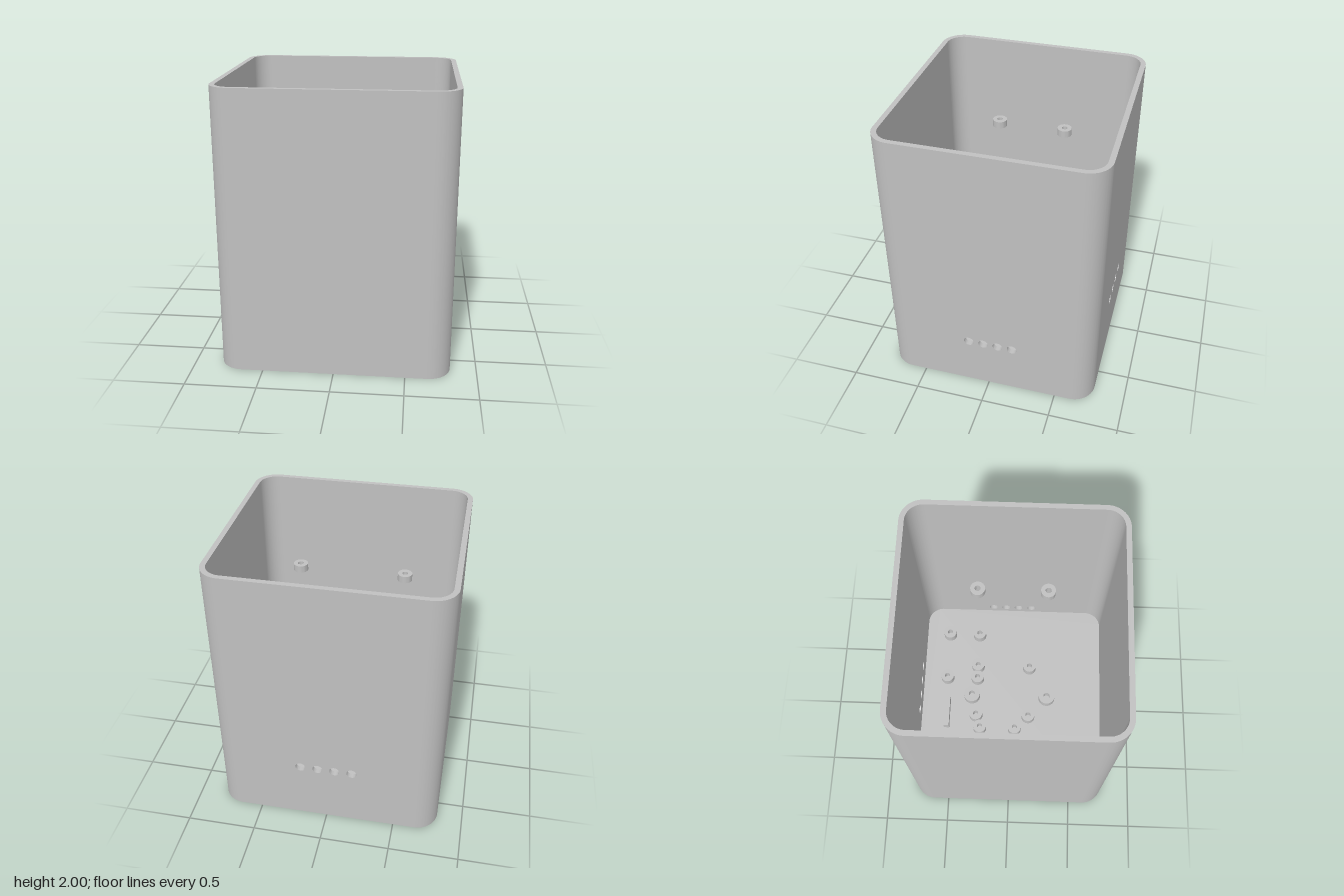
import * as THREE from 'three';
import { toCreasedNormals } from 'three/addons/utils/BufferGeometryUtils.js';

const HX = 0.815, HZ = 0.772, HEIGHT = 2, WALL = 0.037, RADIUS = 0.16;
const FLOOR_Y = 0.286, FLOOR_T = 0.036, FLOOR_TOP = FLOOR_Y + FLOOR_T;

export function createModel() {
  const model = new THREE.Group();
  model.name = 'enclosure';
  const grey = new THREE.MeshStandardMaterial({ color: 0xc0c0c0 });
  grey.name = 'plain grey';

  const add = (name, geometry, parent = model) => {
    const mesh = new THREE.Mesh(geometry, grey);
    mesh.name = name;
    parent.add(mesh);
    return mesh;
  };
  const extrude = (shape, depth) => toCreasedNormals(
    new THREE.ExtrudeGeometry(shape, { depth, bevelEnabled: false, curveSegments: 16 }), 0.6);
  const circle = (x, y, r) => new THREE.Path().absarc(x, y, r, 0, Math.PI * 2, true);

  // Flat side walls, with a row of round vents where given
  const wall = (name, half, distance, turn, vents = [], ventY = 0) => {
    const w = half - RADIUS;
    const shape = new THREE.Shape([
      new THREE.Vector2(-w, 0), new THREE.Vector2(w, 0),
      new THREE.Vector2(w, HEIGHT), new THREE.Vector2(-w, HEIGHT),
    ]);
    vents.forEach((x) => shape.holes.push(circle(x, ventY, 0.036)));
    const geometry = extrude(shape, WALL);
    geometry.translate(0, 0, distance - WALL);
    geometry.rotateY(turn);
    add(name, geometry);
  };
  wall('frontWall', HX, HZ, 0);
  wall('leftWall', HZ, HX, Math.PI / 2, [-0.145, -0.037, 0.07, 0.177], 0.393);
  wall('backWall', HX, HZ, Math.PI, [-0.187, -0.062, 0.062, 0.187], 0.467);
  wall('rightWall', HZ, HX, -Math.PI / 2);

  // Rounded vertical corners
  const arc = new THREE.Shape();
  arc.absarc(0, 0, RADIUS, 0, Math.PI / 2, false);
  arc.absarc(0, 0, RADIUS - WALL, Math.PI / 2, 0, true);
  arc.closePath();
  const cornerGeometry = extrude(arc, HEIGHT);
  cornerGeometry.rotateX(-Math.PI / 2);
  [[1, -1], [-1, -1], [-1, 1], [1, 1]].forEach(([sx, sz], i) => {
    const corner = add('corner', cornerGeometry);
    corner.position.set(sx * (HX - RADIUS), 0, sz * (HZ - RADIUS));
    corner.rotation.y = i * Math.PI / 2;
  });

  // Inner floor, raised above the open base
  const fx = HX - WALL, fz = HZ - WALL, fr = RADIUS - WALL;
  const floor = new THREE.Shape();
  floor.absarc(fx - fr, fz - fr, fr, 0, Math.PI / 2);
  floor.absarc(-fx + fr, fz - fr, fr, Math.PI / 2, Math.PI);
  floor.absarc(-fx + fr, -fz + fr, fr, Math.PI, Math.PI * 1.5);
  floor.absarc(fx - fr, -fz + fr, fr, Math.PI * 1.5, Math.PI * 2);
  const floorGeometry = extrude(floor, FLOOR_T);
  floorGeometry.rotateX(-Math.PI / 2);
  add('floor', floorGeometry).position.y = FLOOR_Y;

  // Hollow mounting bosses, four to a set: x pair, z pair, bottom, top
  const bossSets = [
    ['upperBosses', [-0.39, 0.39], [-0.252, 0.248], 1.497, 1.55],
    ['sideBosses', [-0.682, -0.432], [-0.073, 0.142], FLOOR_TOP, 0.35],
    ['leftBoardBosses', [-0.645, -0.288], [-0.252, 0.033], FLOOR_TOP, 0.392],
    ['middleBoardBosses', [-0.181, 0.247], [-0.288, 0.142], FLOOR_TOP, 0.392],
    ['cornerBoardBosses', [0.14, 0.533], [-0.539, -0.288], FLOOR_TOP, 0.392],
  ];
  bossSets.forEach(([name, xs, zs, bottom, top]) => {
    const ring = new THREE.Shape().absarc(0, 0, 0.053, 0, Math.PI * 2, false);
    ring.holes.push(circle(0, 0, 0.021));
    const geometry = extrude(ring, top - bottom);
    geometry.rotateX(-Math.PI / 2);
    const set = new THREE.Group();
    set.name = name;
    model.add(set);
    xs.forEach((x) => zs.forEach((z) => add('boss', geometry, set).position.set(x, bottom, z)));
  });

  // Small upright tab behind the boards
  add('tab', new THREE.BoxGeometry(0.25, 0.07, 0.044)).position.set(-0.165, FLOOR_TOP + 0.035, -0.526);

  return model;
}
